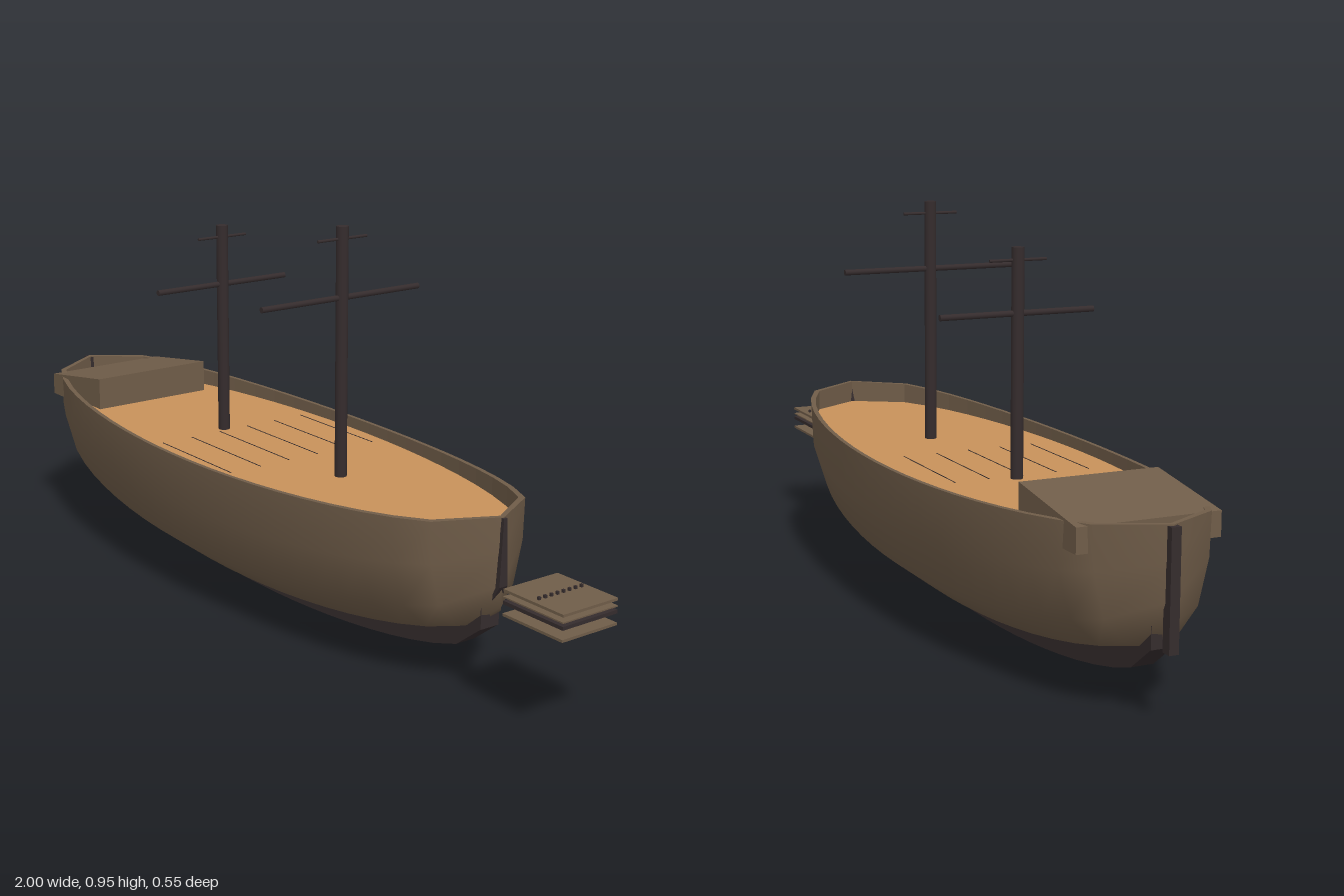
import * as THREE from 'three';

const timber = new THREE.MeshStandardMaterial({ color: 0x705d49, side: THREE.DoubleSide });
timber.name = 'brown timber';
const deckWood = new THREE.MeshStandardMaterial({ color: 0xc8925a, side: THREE.DoubleSide });
deckWood.name = 'orange deck wood';
const darkWood = new THREE.MeshStandardMaterial({ color: 0x352c2d });
darkWood.name = 'dark wood';

const MID = -0.125, HALF = 0.865, DECK = 0.36, STATIONS = 22;

// Hull curves along t = -1 (stern) .. 1 (bow)
const fade = (t, p) => Math.pow(Math.max(0, Math.cos(t * Math.PI / 2)), p);
const halfWidth = t => (Math.abs(t) > 0.999 ? 0 : 0.277 * fade(t, 0.37));
const rise = t => 0.155 * (1 - fade(t, 0.5));
const sheer = t => 0.388 + 0.027 * t * t;

// Skin between rows of points, one row per station
function loft(rowAt, flat) {
  const pos = [], index = [];
  let n = 0, rows = 0;
  for (let i = 0; i <= STATIONS; i++) {
    const row = rowAt(-1 + 2 * i / STATIONS, i);
    n = row.length;
    row.forEach(p => pos.push(...p));
    rows++;
  }
  for (let i = 0; i < rows - 1; i++) {
    for (let j = 0; j < n - 1; j++) {
      const a = i * n + j, b = a + 1, c = a + n, d = c + 1;
      index.push(a, b, c, b, d, c);
    }
  }
  let g = new THREE.BufferGeometry();
  g.setAttribute('position', new THREE.Float32BufferAttribute(pos, 3));
  g.setIndex(index);
  if (flat) g = g.toNonIndexed();
  g.computeVertexNormals();
  return g;
}

export function createModel() {
  const model = new THREE.Group();
  model.name = 'sailingShip';

  const add = (name, geometry, material, x = 0, y = 0, z = 0) => {
    const m = new THREE.Mesh(geometry, material);
    m.name = name;
    m.position.set(x, y, z);
    model.add(m);
    return m;
  };
  const box = (name, mat, w, h, d, x, y, z) => add(name, new THREE.BoxGeometry(w, h, d), mat, x, y, z);

  // Hull: [width fraction, height fraction] from gunwale to keel, mirrored
  const side = [[1, 1], [0.975, 0.636], [0.8, 0.265], [0.43, 0.04], [0, 0]];
  const section = [...side, ...side.slice(0, 4).reverse().map(([w, h]) => [-w, h])];
  add('hull', loft(t => {
    const low = 0.05 + rise(t), high = sheer(t), w = halfWidth(t);
    return section.map(([fw, fh]) => [MID + HALF * t, low + (high - low) * fh, w * fw]);
  }), timber);

  // Rim and inside of the bulwarks
  const inner = t => [MID + (HALF - 0.012) * t, Math.max(0, halfWidth(t) - 0.01)];
  for (const s of [1, -1]) {
    add(s > 0 ? 'frontBulwark' : 'backBulwark', loft(t => {
      const [x, z] = inner(t);
      const row = [[MID + HALF * t, sheer(t), s * halfWidth(t)], [x, sheer(t), s * z], [x, DECK - 0.005, s * z]];
      return s > 0 ? row.reverse() : row;
    }, true), timber);
  }

  // Deck
  const outline = [];
  for (let i = 0; i <= STATIONS; i++) {
    const [x, z] = inner(-1 + 2 * i / STATIONS);
    outline.push(new THREE.Vector2(x, z));
  }
  for (let i = STATIONS - 1; i > 0; i--) outline.push(new THREE.Vector2(outline[i].x, -outline[i].y));
  const deckGeometry = new THREE.ShapeGeometry(new THREE.Shape(outline));
  deckGeometry.rotateX(-Math.PI / 2);
  add('deck', deckGeometry, deckWood, 0, DECK, 0);

  // Fine seams on the deck
  for (let i = 0; i < 6; i++) {
    box('deckSeam', darkWood, 0.3, 0.002, 0.002, -0.14, DECK, -0.23 + i * 0.085);
  }

  // Keel, closed at both ends
  add('keel', loft((t, i) => {
    const y = rise(t), x = MID + 0.83 * t, k = 0.026;
    if (i === 0 || i === STATIONS) {
      // square end followed by its cap
      const ring = [[x, y + 0.05, k], [x, y, k], [x, y, -k], [x, y + 0.05, -k], [x, y + 0.05, k]];
      return ring;
    }
    return [[x, y + 0.05, k], [x, y, k], [x, y, -k], [x, y + 0.05, -k], [x, y + 0.05, k]];
  }, true), darkWood);
  for (const s of [1, -1]) box('keelEnd', darkWood, 0.004, 0.05, 0.052, MID + s * 0.829, 0.18, 0);

  // Stem post at the bow
  const stem = new THREE.Shape([[0.69, 0.16], [0.703, 0.19], [0.745, 0.26], [0.745, 0.413], [0.73, 0.413], [0.715, 0.27], [0.68, 0.2]]
    .map(p => new THREE.Vector2(...p)));
  const stemGeometry = new THREE.ExtrudeGeometry(stem, { depth: 0.024, bevelEnabled: false });
  stemGeometry.translate(0, 0, -0.012);
  const sp = stemGeometry.attributes.position;
  for (let i = 0; i < sp.count; i++) if (sp.getY(i) > 0.4) sp.setZ(i, sp.getZ(i) * 0.4);
  stemGeometry.computeVertexNormals();
  add('stemPost', stemGeometry, darkWood);

  // Rudder at the stern
  box('rudder', darkWood, 0.025, 0.257, 0.022, -0.9875, 0.2835, 0);

  // Sloping stern cabin
  const cabin = new THREE.Shape([[-0.9, 0.35], [-0.65, 0.35], [-0.65, 0.442], [-0.9, 0.405]]
    .map(p => new THREE.Vector2(...p)));
  add('sternCabin', new THREE.ExtrudeGeometry(cabin, { depth: 0.33, bevelEnabled: false }), timber, 0, 0, -0.165);

  // Masts, each with a long yard and a short upper one
  const spar = (name, r, length, x, y) => {
    add(name, new THREE.CylinderGeometry(r, r, length, 10), darkWood, x, y, 0).rotation.x = Math.PI / 2;
  };
  for (const [name, x, top, yardY, yardLength] of [['fore', 0.18, 0.952, 0.787, 0.45], ['aft', -0.307, 0.885, 0.737, 0.38]]) {
    const h = top - DECK + 0.02;
    add(name + 'Mast', new THREE.CylinderGeometry(0.0145, 0.0145, h, 12), darkWood, x, top - h / 2, 0);
    spar(name + 'Yard', 0.007, yardLength, x, yardY);
    spar(name + 'TopYard', 0.0035, 0.14, x, top - 0.029);
  }

  // Loose stack of plates ahead of the bow
  const plates = [[0.297, 0.006, timber], [0.282, 0.003, timber], [0.27, 0.008, darkWood], [0.243, 0.006, timber]];
  for (const [y, h, mat] of plates) box('stackPlate', mat, 0.174, h, 0.154, 0.913, y, 0);
  for (let i = 0; i < 8; i++) {
    box('stackPeg', darkWood, 0.006, 0.007, 0.006, 0.913, 0.303, -0.06 + i * 0.0171);
  }
  for (const s of [1, -1]) box('stackSpacer', darkWood, 0.01, 0.018, 0.008, 0.842, 0.286, s * 0.036);

  return model;
}
